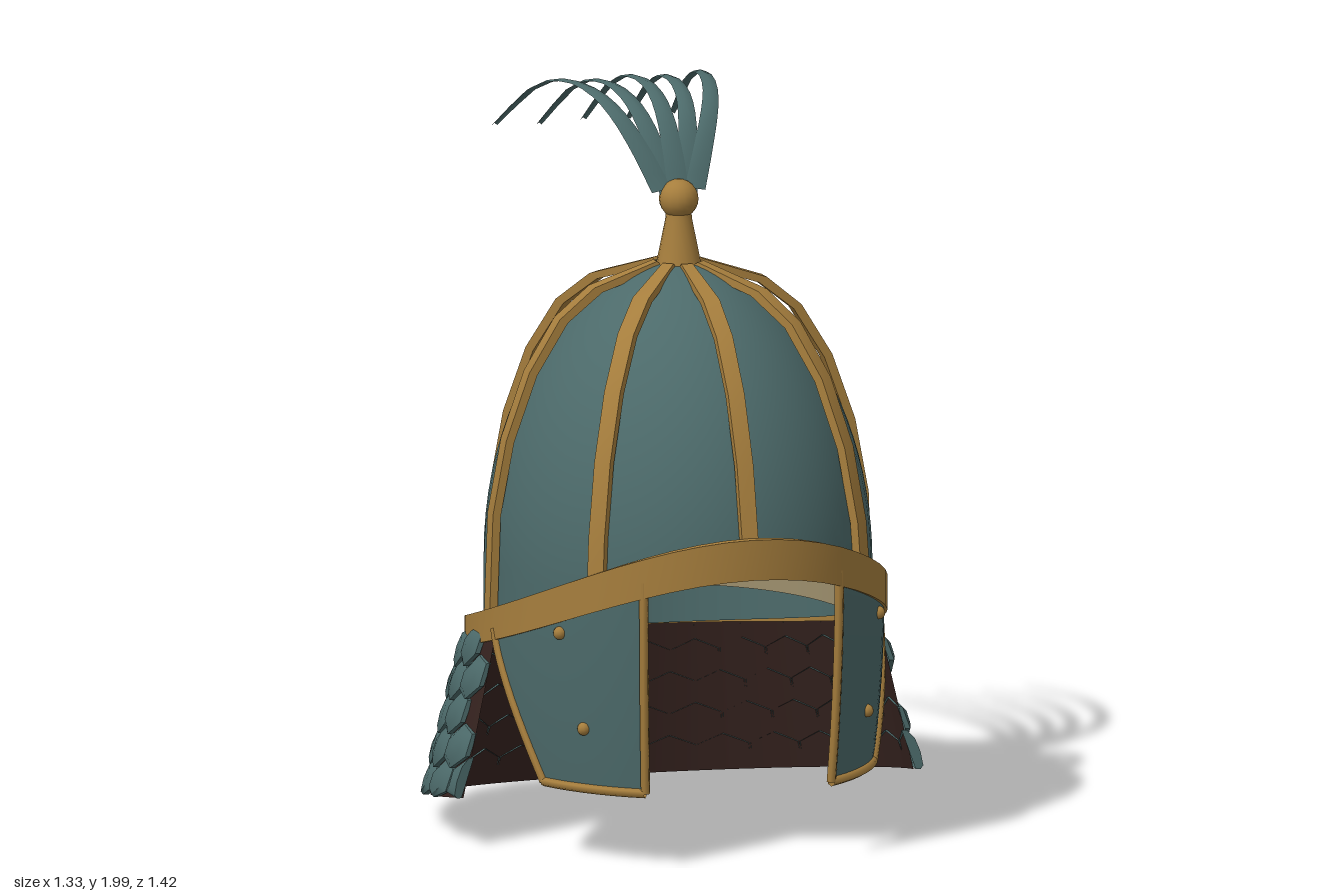
import * as THREE from 'three';
import { mergeGeometries, toCreasedNormals } from 'three/addons/utils/BufferGeometryUtils.js';
import { ParametricGeometry } from 'three/addons/geometries/ParametricGeometry.js';

const { lerp, clamp } = THREE.MathUtils;
const { sin, cos, PI } = Math;

function material(name, color) {
  const m = new THREE.MeshStandardMaterial({ color, side: THREE.DoubleSide });
  m.name = name;
  return m;
}

// Rim height for a given angle (0 = front, PI = back): high brow, low nape
const rimS = a => (1 + cos(a)) / 2;
const rimY = a => 0.475 + 0.18 * rimS(a) + 0.2 * rimS(a) ** 3;

// Egg-shaped shell profile: radius factor by height
const shell = y => Math.max(0, 1 - Math.max(0, (y - 0.75) / 0.81) ** 2) ** 0.56;

function dome(rx, rz, top, bottom) {
  return new ParametricGeometry((u, v, p) => {
    const a = u * PI * 2, b = bottom(a);
    const y = lerp(b, 1.56, sin(v * PI / 2)), f = shell(y);
    p.set(rx * f * sin(a), y - (1.56 - top) * v, 0.08 + rz * f * cos(a));
  }, 64, 28);
}

// Sweep of a four-cornered section; corners(u) returns four Vector3
function sweep(corners, steps) {
  const g = new ParametricGeometry((u, v, p) => p.copy(corners(u)[Math.round(v * 4) % 4]), steps, 4);
  return toCreasedNormals(g, 0.6);
}

// Neck guard surface: a = 0 at the back, v runs from rim to hem
const NECK = 1.73;
function neckPoint(a, v, lift, p = new THREE.Vector3()) {
  const rx = lerp(0.535, 0.642, v) + lift, rz = lerp(0.6, 0.735, v) + lift;
  const z = 0.05 - rz * cos(a);
  const hem = 0.012 + 0.157 * (0.05 - 0.75 * cos(a) + 0.71);
  return p.set(rx * sin(a), lerp(rimY(PI - a), hem, v), z);
}

// One domed hexagonal scale laid on the neck guard
function scale(a, v, w, h) {
  const pos = [], index = [];
  const rings = [[0, 0.03], [0.6, 0.026], [0.96, 0.014], [0.96, 0]];
  for (const [r, lift] of rings)
    for (let i = 0; i < 6; i++) {
      const t = i * PI / 3;
      const ca = clamp(a + r * w * sin(t) / sin(PI / 3), -NECK, NECK);
      const cv = clamp(v + r * h * cos(t), 0, 1);
      pos.push(...neckPoint(ca, cv, lift + 0.008 * r * (cv - v) / h).toArray());
    }
  for (let k = 0; k < 3; k++)
    for (let i = 0; i < 6; i++) {
      const j = (i + 1) % 6, A = k * 6 + i, B = k * 6 + j;
      index.push(A, A + 6, B + 6);
      if (k) index.push(A, B + 6, B);
    }
  const g = new THREE.BufferGeometry();
  g.setAttribute('position', new THREE.Float32BufferAttribute(pos, 3));
  g.setIndex(index);
  return toCreasedNormals(g, 0.7);
}

// Cheek guard surface: u from front edge to back edge, v from rim to bottom
function cheekPoint(side, u, v, p = new THREE.Vector3()) {
  const a = lerp(0.53, lerp(1.44, 1.11, v ** 1.25), u);
  const s = 1 - 0.05 * v * v;
  return p.set(side * 0.545 * s * sin(a), lerp(rimY(a) - 0.01, 0.215, v), 0.07 + 0.625 * s * cos(a));
}

export function createModel() {
  const steel = material('blue green steel', 0x4c6a6a);
  const brass = material('brass', 0xa67e3d);
  const leather = material('dark leather', 0x36231f);
  const padding = material('tan padding', 0x9c8e6c);

  const root = new THREE.Group();
  root.name = 'helmet';
  const add = (name, geo, mat, parent = root) => {
    const m = new THREE.Mesh(geo, mat);
    m.name = name;
    parent.add(m);
    return m;
  };

  // Skull and inner lining
  add('skull', dome(0.51, 0.59, 1.56, a => rimY(a) - 0.02), steel);
  add('lining', dome(0.485, 0.56, 1.52, a => Math.max(0.57, rimY(a))), padding);

  // Rim band
  add('rimBand', sweep(u => {
    const a = u * PI * 2, h = 0.03 + 0.025 * rimS(a), y = rimY(a);
    return [[0, h], [0, -h], [0.028, -h], [0.028, h]].map(([d, dy]) =>
      new THREE.Vector3((0.555 - d) * sin(a), y + dy, 0.0625 + (0.645 - d) * cos(a)));
  }, 48), brass);

  // Eight ribs
  const ribF = [1, 0.98, 0.91, 0.79, 0.63, 0.45, 0.12];
  const ribH = [0, 0.9, 1.1, 1.28, 1.42, 1.5, 1.56];
  for (let i = 0; i < 8; i++) {
    const a = i * PI / 4;
    const side = new THREE.Vector3(0.61 * cos(a), 0, -0.54 * sin(a)).normalize();
    add('rib', sweep(u => {
      const k = Math.round(clamp(u, 0, 1) * 6), y = k ? ribH[k] : rimY(a);
      const w = k === 6 ? 0.016 : 0.023;
      return [[0, w], [0, -w], [0.022, -w], [0.022, w]].map(([d, s]) => new THREE.Vector3(
        (0.54 * ribF[k] - d) * sin(a), y - d * k / 8, 0.08 + (0.615 * ribF[k] - d) * cos(a)
      ).addScaledVector(side, s));
    }, 6), brass);
  }

  // Finial: tapered socket and ball
  const finial = [[0.001, 1.53], [0.062, 1.54], [0.056, 1.57], [0.036, 1.67], [0.034, 1.69]]
    .map(p => new THREE.Vector2(...p));
  add('finialSocket', toCreasedNormals(new THREE.LatheGeometry(finial, 16), 0.6), brass).position.z = 0.085;
  add('finialBall', new THREE.SphereGeometry(0.053, 16, 12), brass).position.set(0, 1.725, 0.085);

  // Plume strands
  const plume = new THREE.Group();
  plume.name = 'plume';
  root.add(plume);
  for (let i = -2; i <= 2; i++) {
    const s = i / 2;
    const path = new THREE.CatmullRomCurve3([
      [0.045, 1.75, 0.085], [0.085, 1.85, 0.035], [0.125, 1.935, -0.03], [0.155, 1.982, -0.11],
      [0.185, 1.998, -0.25], [0.215, 1.95, -0.46], [0.25, 1.8, -0.71],
    ].map(([x, y, z]) => new THREE.Vector3(x * s, y - 0.006 * (i & 1), z)));
    add('plumeStrand', new ParametricGeometry((u, v, p) => {
      const t = clamp(u, 0, 1), e = v * 2 - 1;
      path.getPoint(t, p);
      p.x += e * lerp(0.03, 0.008, t ** 1.3);
      p.y -= 0.006 * e * e;
    }, 14, 2), steel, plume);
  }

  // Cheek guards with brass edging and rivets
  for (const side of [1, -1]) {
    const cheek = new THREE.Group();
    cheek.name = side > 0 ? 'leftCheekGuard' : 'rightCheekGuard';
    root.add(cheek);
    add('cheekPlate', new ParametricGeometry((u, v, p) => cheekPoint(side, u, v, p), 14, 10), steel, cheek);
    for (const edge of [t => [0, t], t => [t, 1], t => [1, t]]) {
      const pts = Array.from({ length: 9 }, (_, k) => cheekPoint(side, ...edge(k / 8)));
      add('cheekEdging', new THREE.TubeGeometry(new THREE.CatmullRomCurve3(pts), 20, 0.013, 6), brass, cheek);
    }
    for (const [u, v] of [[0.5, 0.14], [0.45, 0.68]])
      add('cheekRivet', new THREE.SphereGeometry(0.018, 10, 8), brass, cheek)
        .position.copy(cheekPoint(side, u, v));
  }

  // Neck guard: leather backing covered with staggered scales
  add('neckBacking', new ParametricGeometry((u, v, p) =>
    neckPoint(lerp(-NECK, NECK, u), v, 0, p), 48, 8), leather);
  const scales = [], cols = 15, step = 2 * NECK / cols;
  for (let row = 0; row < 5; row++) {
    const shift = row % 2 ? 0.5 : 0;
    // Upper staggered rows stop short of the front edges; the hem row is filled
    const first = shift ? 0 : row === 4 ? 0 : 1, last = shift ? cols - 1 : row === 4 ? cols : cols - 1;
    for (let c = first; c <= last; c++)
      scales.push(scale(-NECK + (c + shift) * step, 0.1 + row * 0.2, step / 2, 0.133));
  }
  add('neckScales', mergeGeometries(scales), steel);

  return root;
}
